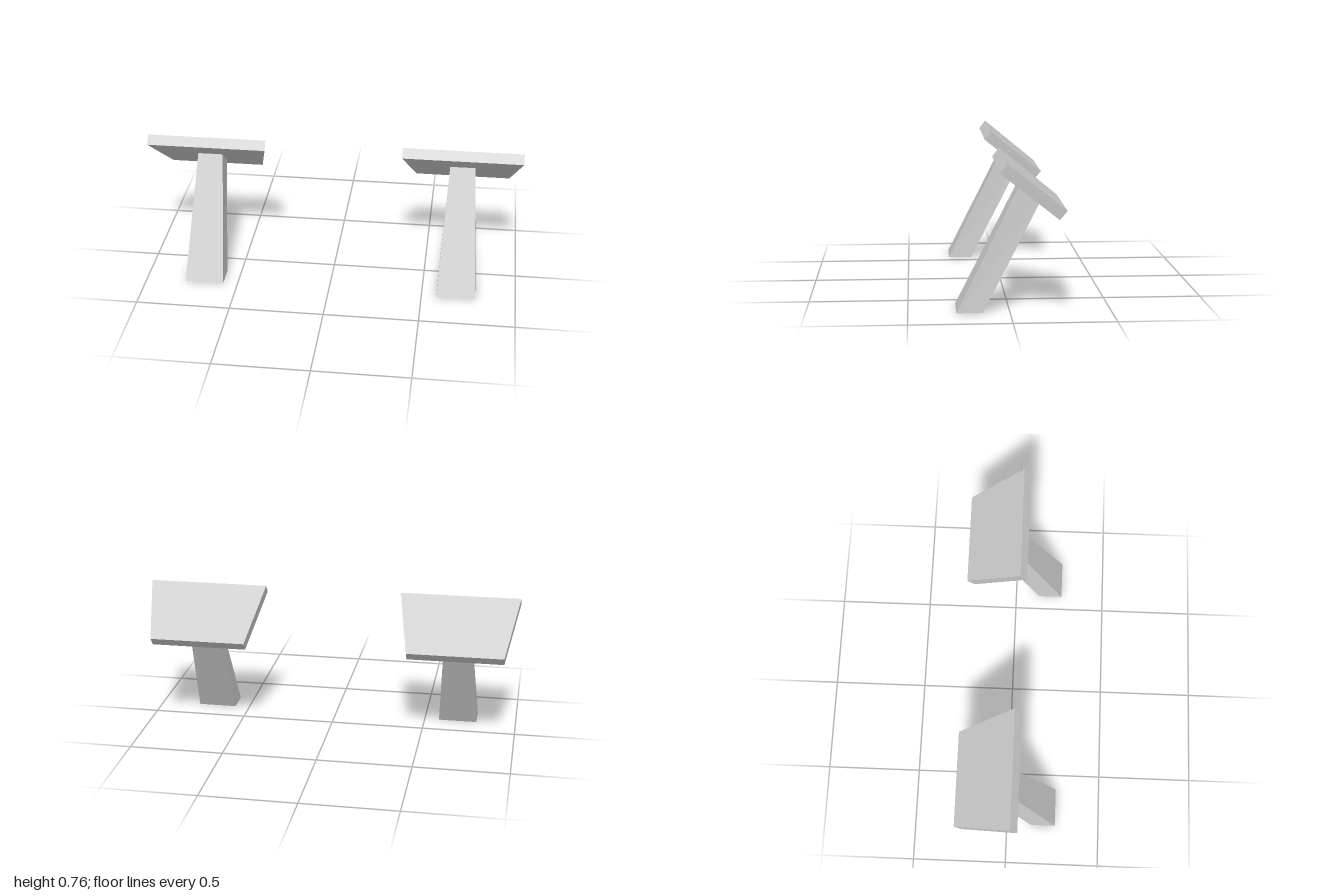
import * as THREE from 'three';

// Moves a box's corners onto a side profile. Each corner is [z, y, halfWidth],
// in the order: top front, bottom front, bottom back, top back.
function taperedBlock(name, corners, material) {
  const geometry = new THREE.BoxGeometry(2, 2, 2).toNonIndexed();
  const pos = geometry.attributes.position;
  for (let i = 0; i < pos.count; i++) {
    const top = pos.getY(i) > 0;
    const front = pos.getZ(i) > 0;
    const [z, y, half] = corners[front ? (top ? 0 : 1) : (top ? 3 : 2)];
    pos.setXYZ(i, Math.sign(pos.getX(i)) * half, y, z);
  }
  geometry.computeVertexNormals();
  const mesh = new THREE.Mesh(geometry, material);
  mesh.name = name;
  return mesh;
}

export function createModel() {
  const model = new THREE.Group();
  model.name = 'pedalPair';
  const material = new THREE.MeshStandardMaterial({ color: 0xcccccc, flatShading: true });

  for (const side of [1, -1]) {
    const pedal = new THREE.Group();
    pedal.name = side > 0 ? 'leftPedal' : 'rightPedal';
    pedal.position.x = side * 0.6825;

    // Leaning post, narrowing towards the plate
    pedal.add(taperedBlock('post', [
      [-0.05, 0.628, 0.067],
      [0.263, 0, 0.1035],
      [0.133, 0, 0.1035],
      [-0.15, 0.543, 0.067],
    ], material));

    // Tilted plate, wide along its upper edge
    pedal.add(taperedBlock('plate', [
      [0.027, 0.762, 0.3175],
      [0.063, 0.718, 0.3175],
      [-0.226, 0.483, 0.253],
      [-0.263, 0.527, 0.253],
    ], material));

    model.add(pedal);
  }
  return model;
}
